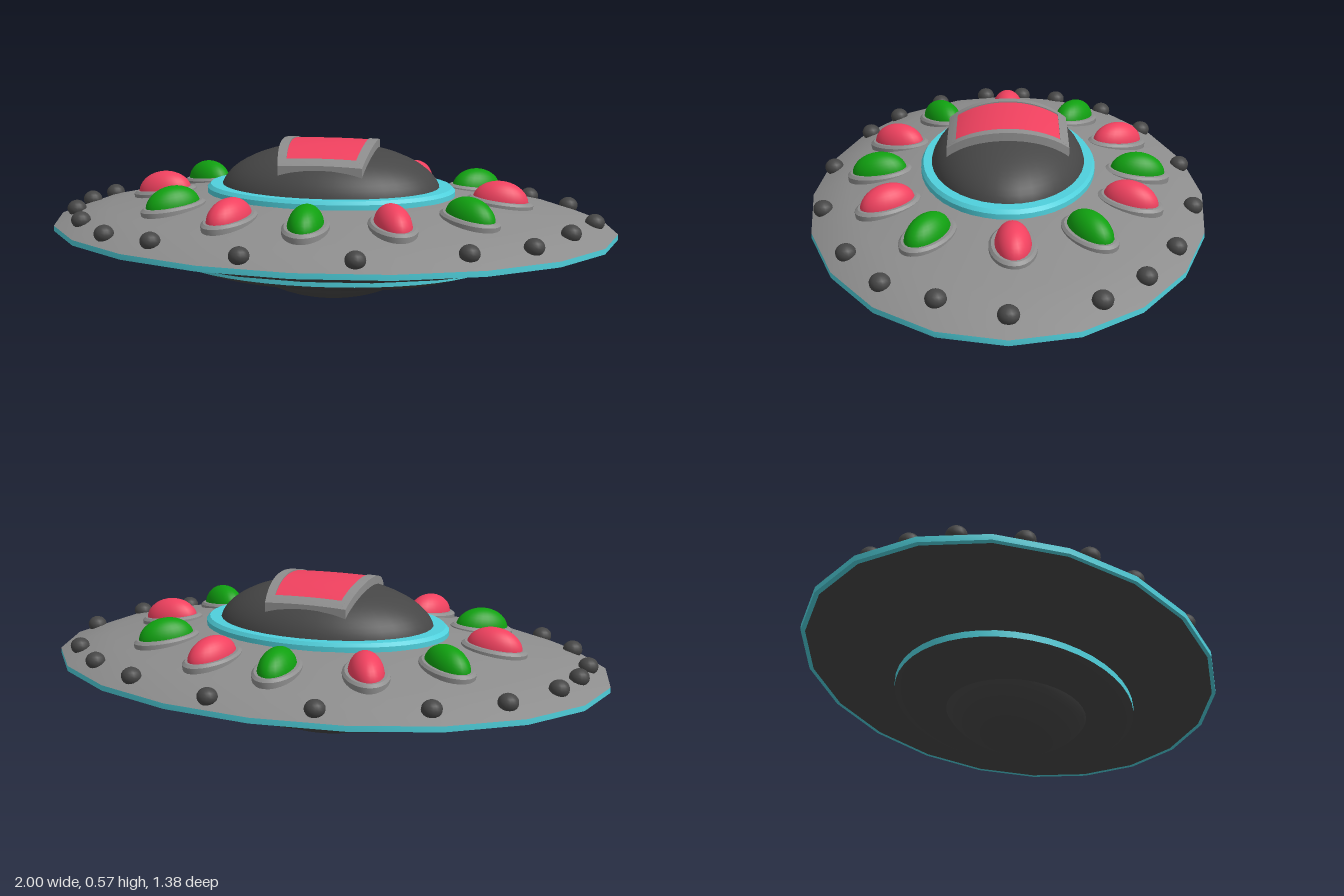
import * as THREE from 'three';
import { toCreasedNormals } from 'three/addons/utils/BufferGeometryUtils.js';

const material = (color) => new THREE.MeshStandardMaterial({ color });
const GREY = material(0x8e8e8e), DARK = material(0x464646), CYAN = material(0x4fd0dc);
const RED = material(0xf0415f), GREEN = material(0x10a010);
const SQUASH = 0.69; // depth of the saucer relative to its width

// Upper hull profile: [radius along x, height]
const TOP = [[1, 0.262], [0.9, 0.3], [0.8, 0.322], [0.62, 0.35], [0.44, 0.375], [0.3, 0.38]];

// Dome over the cabin
const DOME = { rx: 0.39, rz: 0.27, ry: 0.175, y: 0.377 };

function hullHeight(x, z) {
  const r = Math.hypot(x, z / SQUASH);
  for (let i = 0; i < TOP.length - 1; i++) {
    const [r0, y0] = TOP[i], [r1, y1] = TOP[i + 1];
    if (r >= r1) return y0 + ((r - r0) / (r1 - r0)) * (y1 - y0);
  }
  return TOP[TOP.length - 1][1];
}

function add(parent, name, geometry, mat) {
  const mesh = new THREE.Mesh(geometry, mat);
  mesh.name = name;
  parent.add(mesh);
  return mesh;
}

// Elliptical lathe with sharp edges kept; the profile runs bottom to top
function ovalLathe(profile, segments) {
  const lathe = new THREE.LatheGeometry(profile.map(([r, y]) => new THREE.Vector2(r, y)), segments);
  return toCreasedNormals(lathe, 0.5).scale(1, 1, SQUASH);
}

// Upper half of an ellipsoid
function halfEllipsoid(rx, ry, rz, w = 24, h = 10) {
  return new THREE.SphereGeometry(1, w, h, 0, Math.PI * 2, 0, Math.PI / 2).scale(rx, ry, rz);
}

// Box bent over the dome, narrowing slightly towards its ends
function bentBox(w, d, x, z, bottom, top) {
  const geometry = new THREE.BoxGeometry(w, 1, d, 8, 1, 16).translate(x, 0, z);
  const p = geometry.attributes.position;
  for (let i = 0; i < p.count; i++) {
    const pz = p.getZ(i);
    const px = p.getX(i) * (1 - 0.12 * (pz / 0.2) ** 2);
    const s = 1 - (pz / DOME.rz) ** 2 - (0.5 * px / DOME.rx) ** 2;
    const lift = p.getY(i) > 0 ? top : bottom;
    p.setXYZ(i, px, DOME.y + DOME.ry * Math.sqrt(Math.max(s, 0)) + lift, pz);
  }
  return toCreasedNormals(geometry, 0.6);
}

export function createModel() {
  const model = new THREE.Group();
  model.name = 'flyingSaucer';

  // Hull and trim
  add(model, 'upperHull', ovalLathe(TOP, 20), GREY);
  add(model, 'rimBand', ovalLathe([[0.98, 0.243], [1, 0.243], [1, 0.262]], 20), CYAN);
  add(model, 'lowerHull', ovalLathe([[0.45, 0.158], [0.6, 0.164], [0.71, 0.179], [0.94, 0.234], [0.985, 0.244]], 20), DARK);
  add(model, 'lowerBand', ovalLathe([[0.577, 0.138], [0.577, 0.16], [0.5, 0.161]], 48), CYAN);
  add(model, 'bellyPlate', ovalLathe([[0.25, 0.112], [0.5, 0.112], [0.577, 0.138]], 48), DARK);
  add(model, 'collar', ovalLathe([[0.44, 0.365], [0.44, 0.392], [0.428, 0.404], [0.37, 0.404]], 48), CYAN);

  // Domes
  const dome = add(model, 'upperDome', halfEllipsoid(DOME.rx, DOME.ry, DOME.rz, 40, 16), DARK);
  dome.position.y = DOME.y;
  const belly = add(model, 'lowerDome', halfEllipsoid(0.342, 0.19, 0.26, 40, 16), DARK);
  belly.position.y = 0.19;
  belly.rotation.x = Math.PI;

  // Hatch window bent over the top of the dome
  const hatch = new THREE.Group();
  hatch.name = 'hatch';
  model.add(hatch);
  add(hatch, 'windowPane', bentBox(0.27, 0.39, 0, 0, -0.03, 0.012), RED);
  for (const side of [-1, 1]) {
    add(hatch, 'frameSide', bentBox(0.034, 0.415, side * 0.149, 0, -0.03, 0.016), GREY);
    add(hatch, 'frameEnd', bentBox(0.3, 0.03, 0, side * 0.1925, -0.03, 0.016), GREY);
  }

  // Oval lamps on pads, alternating in colour
  const lamps = [
    [0, -0.455], [0.25, -0.41], [0.495, -0.26], [0.595, -0.015], [0.51, 0.255], [0.275, 0.4],
    [0, 0.45], [-0.265, 0.4], [-0.5, 0.25], [-0.605, 0], [-0.51, -0.255], [-0.285, -0.405],
  ];
  const padGeometry = ovalPad();
  const bulbGeometry = halfEllipsoid(0.097, 0.073, 0.059);
  lamps.forEach(([x, z], i) => {
    const lamp = new THREE.Group();
    lamp.name = 'lamp';
    lamp.position.set(x, hullHeight(x, z), z);
    lamp.rotation.set(0, Math.atan2(-1.4 * z, x), -0.12);
    add(lamp, 'lampPad', padGeometry, GREY);
    add(lamp, 'lampBulb', bulbGeometry, i % 2 ? RED : GREEN).position.y = 0.005;
    model.add(lamp);
  });

  // Studs around the rim
  const studs = [
    [-0.195, -0.63], [0.165, -0.635], [0.485, -0.54], [0.685, -0.425], [0.83, -0.28],
    [0.92, 0], [0.84, 0.215], [0.725, 0.39], [0.53, 0.515], [0.19, 0.63],
    [-0.175, 0.635], [-0.495, 0.53], [-0.685, 0.435], [-0.825, 0.275], [-0.91, 0.09],
    [-0.905, -0.06], [-0.865, -0.2], [-0.74, -0.38], [-0.535, -0.52],
  ];
  const studGeometry = new THREE.SphereGeometry(1, 16, 10).scale(0.034, 0.03, 0.034);
  for (const [x, z] of studs) {
    add(model, 'rimStud', studGeometry, DARK).position.set(x, hullHeight(x, z) + 0.008, z);
  }
  return model;
}

// Low oval pad with a bevelled edge
function ovalPad() {
  const points = [[1, -0.015], [1, 0.008], [0.9, 0.016], [0, 0.016]];
  const lathe = new THREE.LatheGeometry(points.map(([r, y]) => new THREE.Vector2(r, y)), 28);
  return toCreasedNormals(lathe.scale(0.115, 1, 0.077), 0.5);
}
